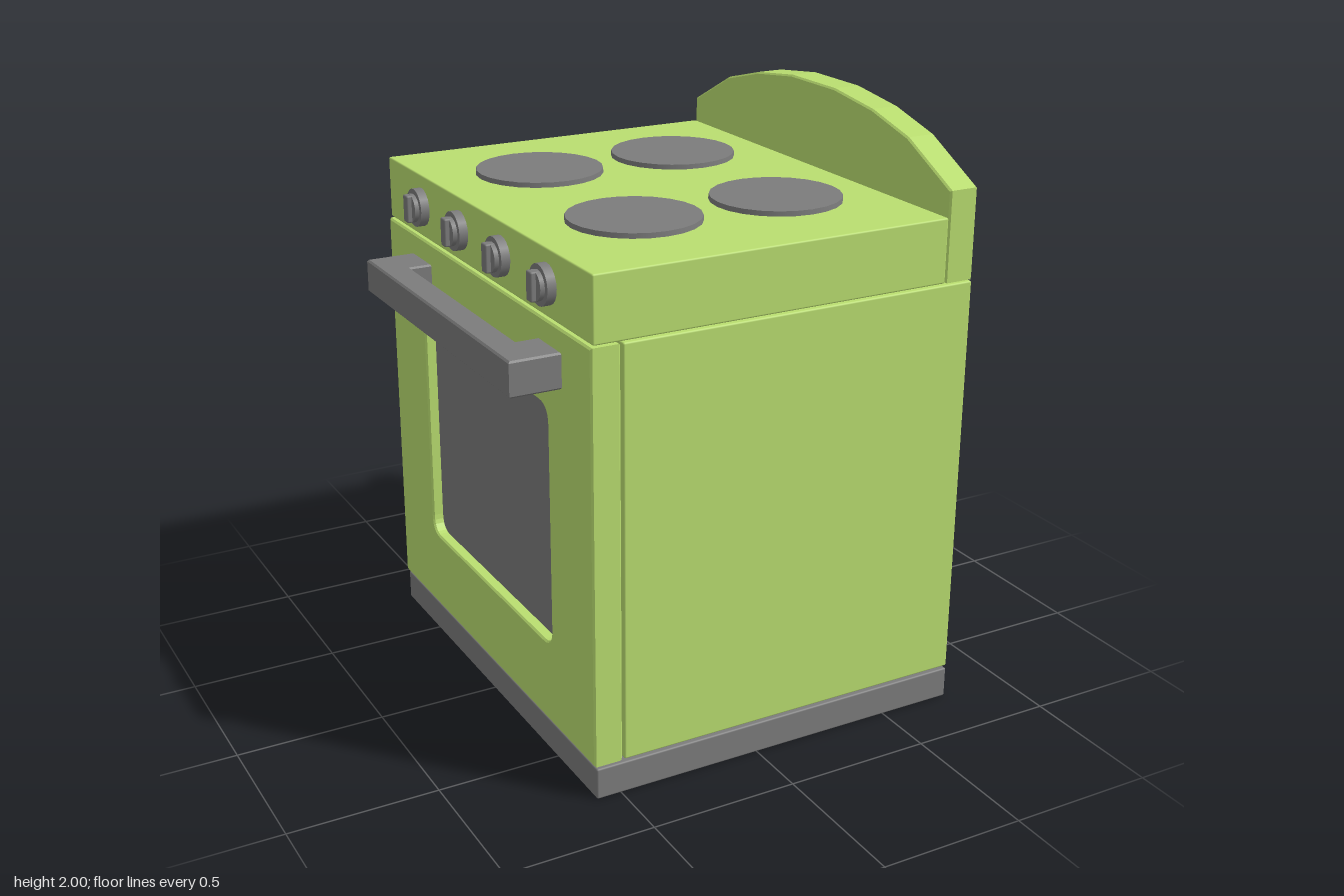
import * as THREE from 'three';
import { RoundedBoxGeometry } from 'three/addons/geometries/RoundedBoxGeometry.js';

const green = new THREE.MeshStandardMaterial({ color: 0xbade70 });
const grey = new THREE.MeshStandardMaterial({ color: 0x7c7c7c });
const BEVEL = 0.006;

function add(parent, name, geometry, material) {
  const mesh = new THREE.Mesh(geometry, material);
  mesh.name = name;
  parent.add(mesh);
  return mesh;
}

// Softly edged box given by its limits on each axis
function box(parent, name, [x0, x1], [y0, y1], [z0, z1], material) {
  const geometry = new RoundedBoxGeometry(x1 - x0, y1 - y0, z1 - z0, 2, BEVEL);
  geometry.translate((x0 + x1) / 2, (y0 + y1) / 2, (z0 + z1) / 2);
  return add(parent, name, geometry, material);
}

// Bevelled extrusion whose overall depth runs from 0 to depth
function extrude(shape, depth) {
  return new THREE.ExtrudeGeometry(shape, {
    depth: depth - 2 * BEVEL, bevelEnabled: true, bevelThickness: BEVEL,
    bevelSize: BEVEL, bevelOffset: -BEVEL, bevelSegments: 1, curveSegments: 6,
  }).translate(0, 0, BEVEL);
}

const shapeOf = (points) => new THREE.Shape(points.map(([a, b]) => new THREE.Vector2(a, b)));

// Rounded rectangle used for the window opening
function roundedRect(path, a0, a1, b0, b1, r) {
  path.moveTo(a0 + r, b0);
  path.lineTo(a1 - r, b0);
  path.quadraticCurveTo(a1, b0, a1, b0 + r);
  path.lineTo(a1, b1 - r);
  path.quadraticCurveTo(a1, b1, a1 - r, b1);
  path.lineTo(a0 + r, b1);
  path.quadraticCurveTo(a0, b1, a0, b1 - r);
  path.lineTo(a0, b0 + r);
  path.quadraticCurveTo(a0, b0, a0 + r, b0);
  return path;
}

// Control knob on the -x side: flange, dial and grip ridge
function createKnob() {
  const knob = new THREE.Group();
  knob.name = 'knob';
  const disc = (name, r, x0, x1) => add(knob, name,
    new THREE.CylinderGeometry(r, r, x1 - x0, 20).rotateZ(Math.PI / 2).translate((x0 + x1) / 2, 0, 0), grey);
  disc('knobFlange', 0.065, -0.03, 0.005);
  disc('knobDial', 0.048, -0.045, -0.02);
  box(knob, 'knobGrip', [-0.062, -0.03], [-0.047, 0.047], [-0.018, 0.018], grey);
  return knob;
}

export function createModel() {
  const stove = new THREE.Group();
  stove.name = 'stove';
  const side = [-0.785, 0.785];

  // Plinth, oven body and cooktop slab
  box(stove, 'plinth', [-0.585, 0.757], [0, 0.107], side, grey);
  box(stove, 'ovenBody', [-0.487, 0.757], [0.117, 1.496], side, green);
  box(stove, 'cooktop', [-0.585, 0.652], [1.502, 1.715], side, green);

  // Curved backsplash panel
  const arch = [[0.785, 1.8], [0.55, 1.92], [0.35, 1.972], [0.13, 2]];
  const profile = [[-0.785, 1.502], [0.785, 1.502], ...arch,
    ...arch.map(([z, y]) => [-z, y]).reverse()];
  add(stove, 'backsplash', extrude(shapeOf(profile), 0.104).rotateY(-Math.PI / 2), green).position.x = 0.757;

  // Door frame with a rounded window opening and recessed glass
  const door = new THREE.Group();
  door.name = 'ovenDoor';
  stove.add(door);
  const frame = shapeOf([[-0.785, 0.117], [0.785, 0.117], [0.785, 1.496], [-0.785, 1.496]]);
  frame.holes.push(roundedRect(new THREE.Path(), -0.49, 0.49, 0.4, 1.22, 0.06));
  add(door, 'doorFrame', extrude(frame, 0.098).rotateY(-Math.PI / 2), green).position.x = -0.495;
  box(door, 'doorWindow', [-0.555, -0.51], [0.38, 1.24], [-0.51, 0.51], grey);

  // U-shaped handle, outlined in plan
  const handle = shapeOf([[-0.59, -0.565], [-0.763, -0.565], [-0.763, 0.595], [-0.59, 0.595],
    [-0.59, 0.44], [-0.667, 0.44], [-0.667, -0.405], [-0.59, -0.405]]);
  add(door, 'doorHandle', extrude(handle, 0.116).rotateX(Math.PI / 2), grey).position.y = 1.425;

  // Four hot plates
  for (const x of [-0.212, 0.303]) {
    for (const z of [-0.342, 0.335]) {
      add(stove, 'hotPlate', new THREE.CylinderGeometry(0.215, 0.217, 0.025, 24), grey)
        .position.set(x, 1.719, z);
    }
  }

  // Row of control knobs
  for (const z of [-0.485, -0.16, 0.165, 0.49]) {
    const knob = createKnob();
    knob.position.set(-0.585, 1.607, z);
    stove.add(knob);
  }
  return stove;
}
